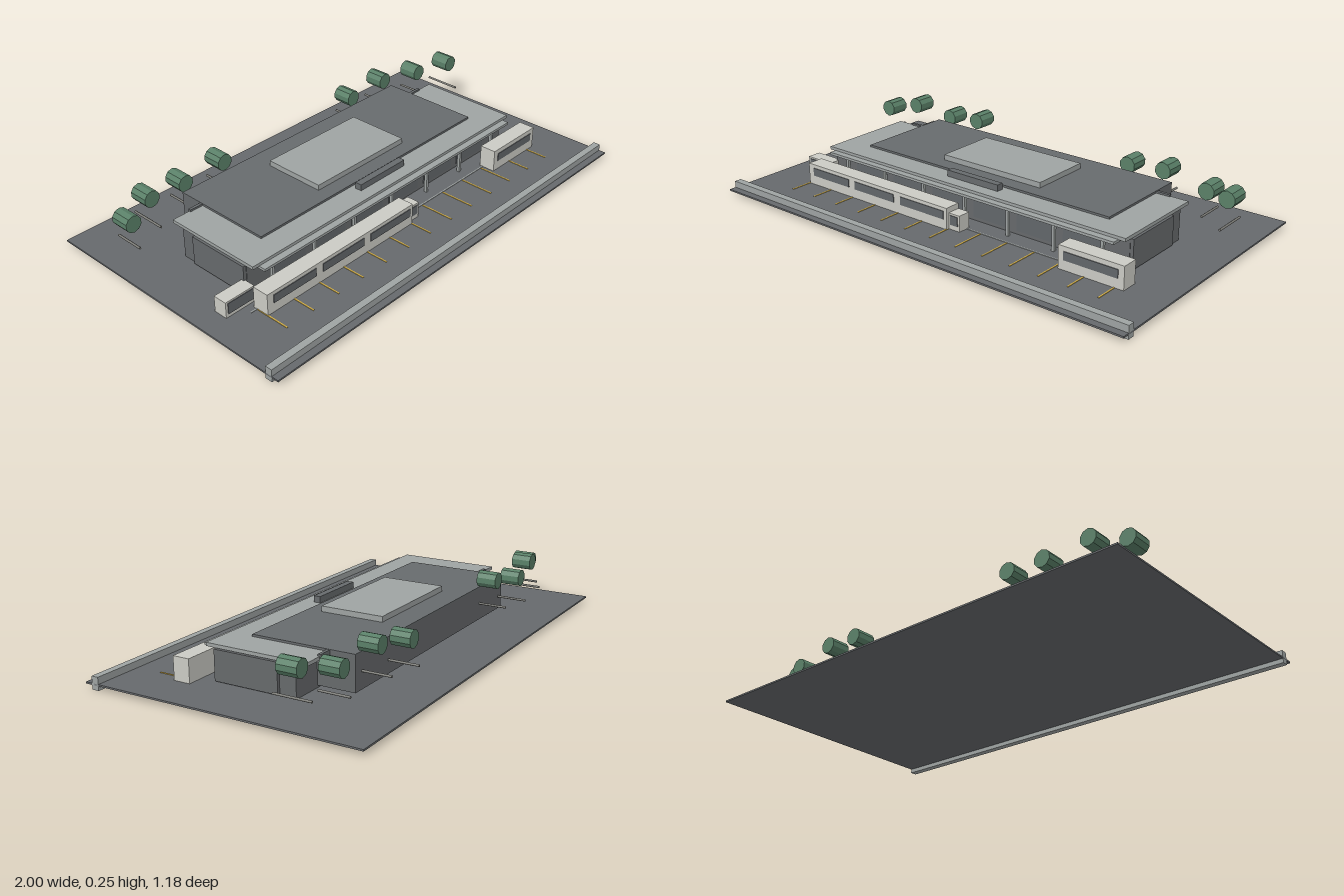
import * as THREE from 'three';

const mat = (name, color) => {
  const m = new THREE.MeshStandardMaterial({ color });
  m.name = name;
  return m;
};

export function createModel() {
  const asphalt = mat('asphalt grey', 0x66696c);
  const wall = mat('wall grey', 0x66696b);
  const roofDark = mat('dark roof grey', 0x676b6d);
  const concrete = mat('concrete grey', 0x9ea3a2);
  const cream = mat('pale cream', 0xcbcbc4);
  const glass = mat('window grey', 0x62666a);
  const yellow = mat('line yellow', 0xd2ae45);
  const leaf = mat('leaf green', 0x5a8068);
  leaf.flatShading = true;
  const bark = mat('bark grey', 0x7d7d78);

  const model = new THREE.Group();
  model.name = 'terminalSite';

  // Box given by its limits on each axis
  const box = (name, m, x0, x1, y0, y1, z0, z1, parent = model) => {
    const mesh = new THREE.Mesh(new THREE.BoxGeometry(x1 - x0, y1 - y0, z1 - z0), m);
    mesh.position.set((x0 + x1) / 2, (y0 + y1) / 2, (z0 + z1) / 2);
    mesh.name = name;
    parent.add(mesh);
    return mesh;
  };

  // Ground and kerb
  box('ground', asphalt, -1, 1, 0.018, 0.025, -0.59, 0.59);
  box('kerb', concrete, -1, 1, 0, 0.053, 0.53, 0.56);

  // Building blocks
  box('mainHall', wall, -0.755, 0.755, 0.025, 0.157, -0.17, 0.18);
  box('rearHall', wall, -0.62, 0.62, 0.035, 0.174, -0.33, -0.1);
  for (const s of [-1, 1]) {
    box('sidePanel', wall, s * 0.762 - 0.007, s * 0.762 + 0.007, 0.032, 0.155, -0.1, 0.178);
  }

  // Layered roof
  box('mainRoof', concrete, -0.76, 0.76, 0.157, 0.171, -0.22, 0.22);
  box('frontCanopy', concrete, -0.73, 0.73, 0.148, 0.159, 0.12, 0.25);
  box('roofDeck', roofDark, -0.62, 0.62, 0.171, 0.18, -0.33, 0.115);
  box('rearParapet', roofDark, -0.68, 0.68, 0.157, 0.179, -0.225, -0.212);
  box('roofLantern', concrete, -0.25, 0.25, 0.178, 0.203, -0.225, 0.05);
  box('signBoard', roofDark, -0.13, 0.13, 0.17, 0.198, 0.135, 0.165);

  // Columns and glazing along the front
  for (let i = -3; i <= 3; i++) {
    const x = i * 0.22;
    box('column', concrete, x - 0.006, x + 0.006, 0.025, 0.149, 0.206, 0.219);
    if (i < 3) box('frontWindow', glass, x + 0.02, x + 0.2, 0.04, 0.14, 0.178, 0.183);
  }

  // Pale low cabins with dark window bands on the front
  const cabin = (x0, x1, y1, z0, z1, bands, wy0, wy1) => {
    const g = new THREE.Group();
    g.name = 'cabin';
    model.add(g);
    box('cabinBody', cream, x0, x1, 0.025, y1, z0, z1, g);
    for (const [a, b] of bands) box('cabinWindow', glass, a, b, wy0, wy1, z1 - 0.002, z1 + 0.003, g);
  };
  for (const [x0, x1, a, b] of [
    [-0.79, -0.53, -0.76, -0.545], [-0.53, -0.265, -0.51, -0.285], [-0.265, 0, -0.248, -0.015],
  ]) cabin(x0, x1, 0.116, 0.25, 0.322, [[a, b]], 0.066, 0.101);
  cabin(0, 0.055, 0.093, 0.25, 0.308, [[0.008, 0.046]], 0.045, 0.085);
  cabin(0.54, 0.825, 0.121, 0.25, 0.322, [[0.565, 0.8]], 0.066, 0.101);
  cabin(-0.9, -0.762, 0.093, 0.165, 0.225, [[-0.89, -0.77]], 0.04, 0.086);

  // Parking bay markings
  for (let i = 0; i < 13; i++) {
    const x = -0.79 + i * 0.1313;
    box('parkingLine', yellow, x - 0.003, x + 0.003, 0.024, 0.027, 0.27, 0.42);
  }
  box('bayEdgeLine', concrete, -0.82, 0.54, 0.024, 0.027, 0.262, 0.268);

  // Trees: crown and trunk cylinders lie along z
  const lyingCylinder = (name, m, r, len, sides, x, y, z, parent) => {
    const geo = new THREE.CylinderGeometry(r, r, len, sides).rotateX(Math.PI / 2);
    const mesh = new THREE.Mesh(geo, m);
    mesh.position.set(x, y, z);
    mesh.name = name;
    parent.add(mesh);
  };
  const trees = [
    [-0.895, -0.322], [-0.765, -0.372], [-0.58, -0.398], [-0.397, -0.372],
    [0.392, -0.398], [0.575, -0.372], [0.786, -0.347], [0.917, -0.265],
  ];
  trees.forEach(([x, z], i) => {
    const tall = i % 2 === 1;
    const g = new THREE.Group();
    g.name = 'tree';
    model.add(g);
    lyingCylinder('crown', leaf, 0.036, 0.084, 10, x, tall ? 0.217 : 0.19, z, g);
    lyingCylinder('trunk', bark, 0.005, tall ? 0.16 : 0.13, 6, x, tall ? 0.106 : 0.092, z, g);
  });

  return model;
}
